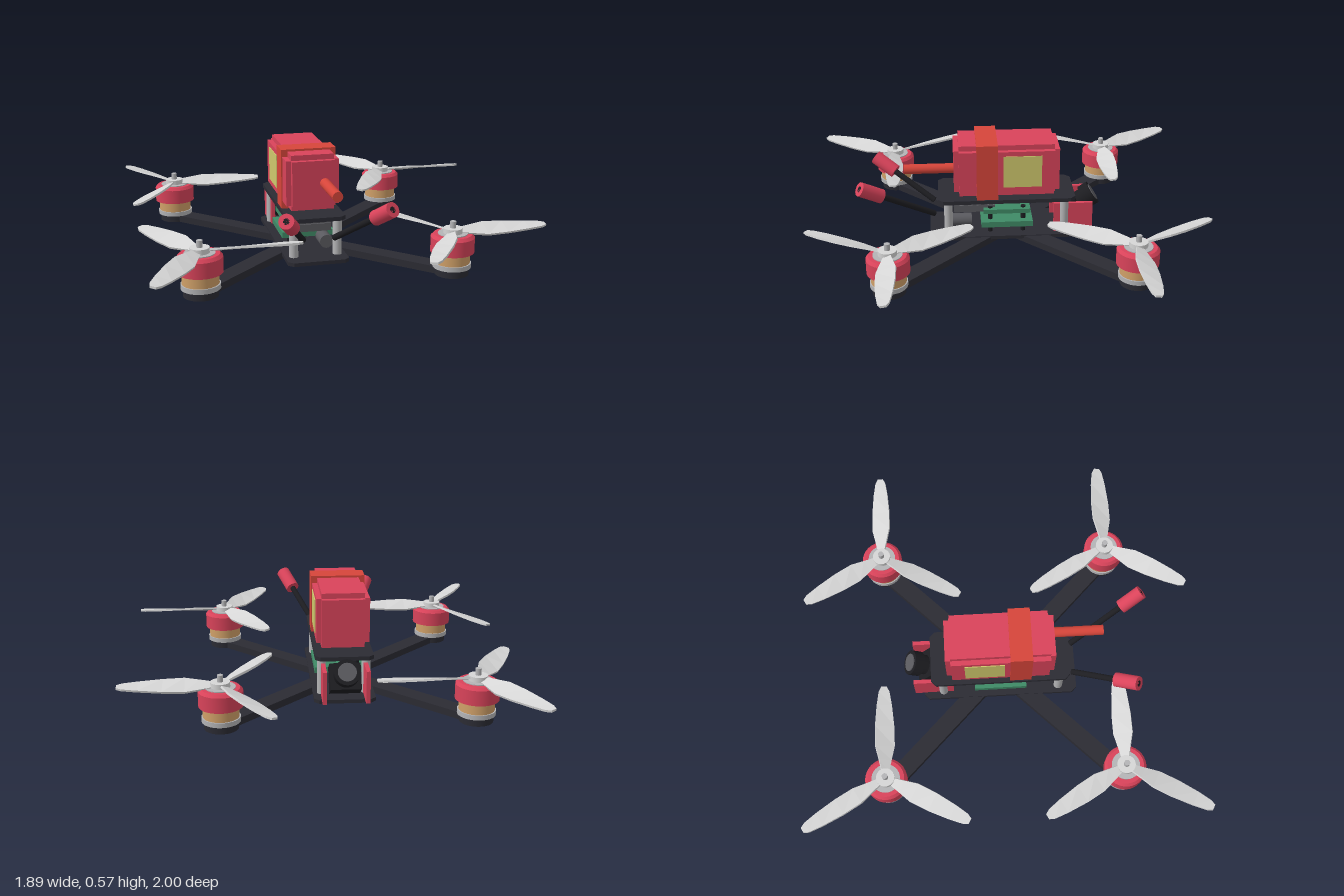
import * as THREE from 'three';

const mat = (name, color) => Object.assign(new THREE.MeshStandardMaterial({ color }), { name });
const M = {
  carbon: mat('carbon black', 0x2b2b33),
  black: mat('matte black', 0x1d1d21),
  red: mat('crimson', 0xd9435a),
  strap: mat('orange red', 0xd6453a),
  silver: mat('silver', 0xb4b4b6),
  blade: mat('pale grey', 0xd6d6d6),
  copper: mat('copper tan', 0xd0a068),
  green: mat('board green', 0x3f8a66),
  label: mat('label yellow', 0xcfc86c),
  grey: mat('dark grey', 0x5a5a5f),
};

const V = (x, y, z) => new THREE.Vector3(x, y, z);

function add(parent, name, geo, material, x = 0, y = 0, z = 0) {
  const mesh = new THREE.Mesh(geo, material);
  mesh.name = name;
  mesh.position.set(x, y, z);
  parent.add(mesh);
  return mesh;
}

// Box given by centre x/z, size, and its lower and upper height
const box = (p, name, m, w, y0, y1, d, x = 0, z = 0) =>
  add(p, name, new THREE.BoxGeometry(w, y1 - y0, d), m, x, (y0 + y1) / 2, z);

// Upright cylinder between two heights
const disc = (p, name, m, r, y0, y1, x = 0, z = 0, rTop = r) =>
  add(p, name, new THREE.CylinderGeometry(rTop, r, y1 - y0, 32), m, x, (y0 + y1) / 2, z);

// Cylinder between two points
function rod(p, name, m, r, a, b) {
  const dir = b.clone().sub(a);
  const mesh = add(p, name, new THREE.CylinderGeometry(r, r, dir.length(), 20), m);
  mesh.position.copy(a).add(b).multiplyScalar(0.5);
  mesh.quaternion.setFromUnitVectors(V(0, 1, 0), dir.normalize());
  return mesh;
}

// Flat plate with clipped corners
function plate(p, name, w, d, y0, y1) {
  const x = w / 2, z = d / 2, c = 0.025;
  const shape = new THREE.Shape([
    [x, -z + c], [x, z - c], [x - c, z], [-x + c, z],
    [-x, z - c], [-x, -z + c], [-x + c, -z], [x - c, -z],
  ].map(q => new THREE.Vector2(...q)));
  const geo = new THREE.ExtrudeGeometry(shape, { depth: y1 - y0, bevelEnabled: false });
  geo.rotateX(-Math.PI / 2);
  add(p, name, geo, M.carbon, 0, y0, 0);
}

// Twisted blade lofted along +x; spin sets the pitch direction
function bladeGeometry(spin) {
  // radius, half width, pitch
  const stations = [
    [0.03, 0.018, 0.42], [0.09, 0.032, 0.4], [0.16, 0.049, 0.36],
    [0.26, 0.048, 0.28], [0.37, 0.038, 0.2], [0.44, 0.027, 0.15], [0.465, 0.014, 0.13],
  ];
  const rings = stations.map(([r, w, pitch]) =>
    [[1, -1], [1, 1], [-1, 1], [-1, -1]].map(([sz, sy]) => {
      const z = sz * w, y = sy * 0.005, a = pitch * spin;
      return [r, z * Math.sin(a) + y * Math.cos(a), z * Math.cos(a) - y * Math.sin(a)];
    }));
  const out = [];
  const quad = (a, b, c, d) => out.push(...a, ...b, ...c, ...a, ...c, ...d);
  for (let i = 0; i < rings.length - 1; i++) {
    for (let k = 0; k < 4; k++) {
      const n = (k + 1) % 4;
      quad(rings[i][k], rings[i + 1][k], rings[i + 1][n], rings[i][n]);
    }
  }
  const first = rings[0], last = rings[rings.length - 1];
  quad(...first);
  quad(last[3], last[2], last[1], last[0]);
  const geo = new THREE.BufferGeometry();
  geo.setAttribute('position', new THREE.Float32BufferAttribute(out, 3));
  geo.computeVertexNormals();
  return geo;
}

function motor(spin) {
  const g = new THREE.Group();
  g.name = 'motor';
  disc(g, 'armEnd', M.carbon, 0.08, 0.035, 0.072);
  disc(g, 'motorBase', M.silver, 0.09, 0.07, 0.093);
  disc(g, 'motorWindings', M.copper, 0.084, 0.093, 0.145);
  disc(g, 'motorBell', M.red, 0.103, 0.145, 0.218);
  disc(g, 'bellTop', M.red, 0.103, 0.218, 0.232, 0, 0, 0.09);
  disc(g, 'bellCap', M.silver, 0.07, 0.23, 0.236);
  disc(g, 'propHub', M.blade, 0.045, 0.23, 0.26);
  disc(g, 'shaft', M.silver, 0.014, 0.25, 0.292);
  const geo = bladeGeometry(spin);
  for (let k = 0; k < 3; k++) {
    add(g, 'propBlade', geo, M.blade, 0, 0.244, 0).rotation.y = k * Math.PI * 2 / 3;
  }
  return g;
}

export function createModel() {
  const model = new THREE.Group();
  model.name = 'racingDrone';
  const g = new THREE.Group();
  g.name = 'airframe';
  g.position.x = -0.11;
  model.add(g);

  // Crossed arms and motors
  const reach = 0.59;
  for (const s of [-1, 1]) {
    box(g, 'arm', M.carbon, reach * 2 * Math.SQRT2, 0.035, 0.07, 0.092).rotation.y = s * Math.PI / 4;
    for (const t of [-1, 1]) {
      const m = motor(-s * t);
      m.position.set(s * reach, 0, t * reach);
      g.add(m);
    }
  }

  // Frame plates, posts and centre bolt
  plate(g, 'bottomPlate', 0.3, 0.79, 0.056, 0.074);
  plate(g, 'topPlate', 0.285, 0.7, 0.255, 0.275);
  disc(g, 'boltHead', M.black, 0.05, 0, 0.04);
  disc(g, 'boltTop', M.black, 0.025, 0.04, 0.097);
  for (const x of [-0.108, 0.108]) {
    for (const z of [-0.295, 0.3]) disc(g, 'post', M.silver, 0.022, 0.074, 0.256, x, z);
    box(g, 'cameraSidePlate', M.red, 0.02, 0.07, 0.232, 0.2, x * 0.96, -0.342);
  }

  // Electronics stack
  box(g, 'lowerBoard', M.green, 0.26, 0.115, 0.145, 0.265);
  box(g, 'upperBoard', M.green, 0.23, 0.185, 0.208, 0.24);
  for (const x of [-0.085, 0.085]) {
    for (const z of [-0.085, 0.085]) disc(g, 'standoff', M.black, 0.012, 0.07, 0.215, x, z);
  }
  box(g, 'transmitter', M.grey, 0.17, 0.185, 0.222, 0.21, 0, 0.165);
  for (let i = 0; i < 5; i++) {
    box(g, 'coolingFin', M.grey, 0.17, 0.222, 0.236, 0.02, 0, 0.08 + i * 0.043);
  }
  rod(g, 'capacitor', M.grey, 0.033, V(0.06, 0.132, 0.18), V(0.06, 0.132, 0.28));

  // Tilted camera at the back
  const camera = new THREE.Group();
  camera.name = 'camera';
  camera.position.set(0, 0.165, -0.345);
  camera.rotation.x = 0.58;
  g.add(camera);
  add(camera, 'cameraBody', new THREE.BoxGeometry(0.15, 0.13, 0.09), M.black);
  rod(camera, 'lensBarrel', M.black, 0.05, V(0, 0, 0), V(0, 0, -0.09));
  rod(camera, 'lensRing', M.black, 0.063, V(0, 0, -0.08), V(0, 0, -0.132));
  rod(camera, 'lensGlass', M.grey, 0.045, V(0, 0, -0.13), V(0, 0, -0.136));

  // Battery with stepped edges, side labels, strap and lead
  box(g, 'batteryCore', M.red, 0.26, 0.312, 0.534, 0.484);
  box(g, 'batteryHeight', M.red, 0.21, 0.286, 0.56, 0.484);
  box(g, 'batteryLength', M.red, 0.21, 0.312, 0.534, 0.536);
  for (const s of [-1, 1]) {
    box(g, 'batteryLabel', M.label, 0.006, 0.342, 0.51, 0.195, s * 0.131, -0.078);
  }
  box(g, 'batteryStrap', M.strap, 0.272, 0.275, 0.57, 0.108, 0, 0.1);
  rod(g, 'batteryLead', M.strap, 0.025, V(0.055, 0.423, 0.25), V(0.055, 0.423, 0.518));

  // Antennas with red caps
  const antennas = [
    [V(-0.077, 0.18, 0.37), V(-0.218, 0.375, 0.675)],
    [V(0.077, 0.18, 0.37), V(0.25, 0.412, 0.73)],
  ];
  for (const [base, tip] of antennas) {
    const capStart = tip.clone().add(base.clone().sub(tip).setLength(0.13));
    rod(g, 'antennaRod', M.black, 0.015, base, tip);
    rod(g, 'antennaCap', M.red, 0.036, capStart, tip);
  }
  return model;
}
